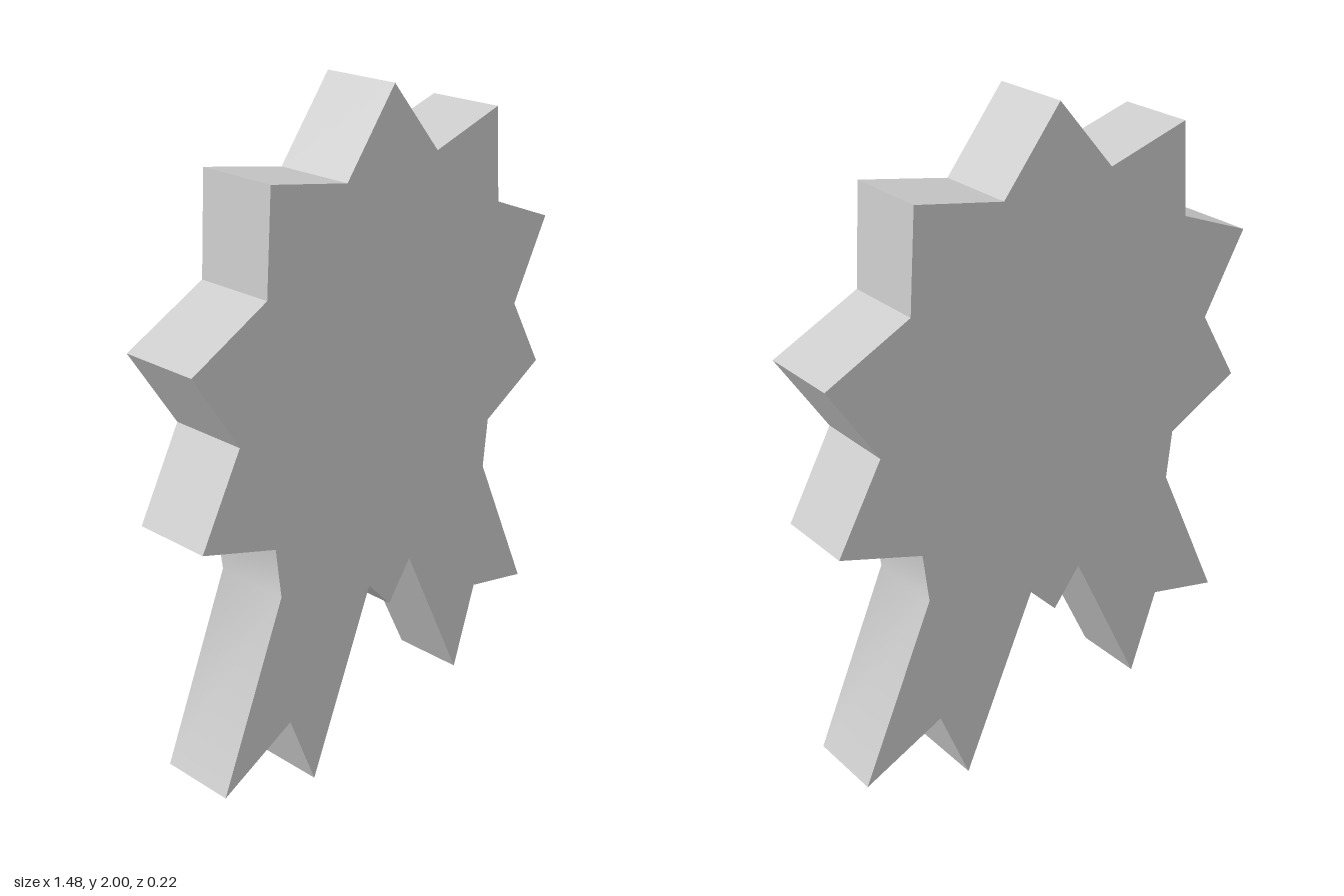
import * as THREE from 'three';
import { toCreasedNormals } from 'three/addons/utils/BufferGeometryUtils.js';

const DEPTH = 0.22;
const CENTRE_Y = 1.22;
const OUTER = 0.78;
const INNER = 0.597;

// Right half of the outline, from the top point down to the bottom point
function halfOutline() {
  const points = [];
  // Ten-pointed rosette: tips and notches alternate every 18 degrees
  for (let i = 0; i <= 7; i++) {
    const angle = (i * Math.PI) / 10;
    const radius = i % 2 ? INNER : OUTER;
    points.push([radius * Math.sin(angle), CENTRE_Y + radius * Math.cos(angle)]);
  }
  // Ribbon tail with its notched end, then the rosette's lowest tip
  points.push([0.467, 0.71], [0.714, 0.177], [0.447, 0.272], [0.351, 0], [0.095, 0.553]);
  points.push([0, CENTRE_Y - OUTER]);
  return points;
}

export function createModel() {
  const group = new THREE.Group();
  group.name = 'awardRosette';

  // Mirror the half outline and run it counter-clockwise
  const half = halfOutline();
  const mirrored = half.slice(1, -1).map(([x, y]) => [-x, y]);
  const outline = [...mirrored, ...half.slice().reverse()];
  const shape = new THREE.Shape(outline.map(([x, y]) => new THREE.Vector2(x, y)));

  // One flat plate; only the soft bend where tail meets rosette is smoothed
  const plate = new THREE.ExtrudeGeometry(shape, { depth: DEPTH, bevelEnabled: false });
  plate.translate(0, 0, -DEPTH / 2);
  const rosette = new THREE.Mesh(
    toCreasedNormals(plate, THREE.MathUtils.degToRad(35)),
    new THREE.MeshStandardMaterial({ color: 0xcccccc })
  );
  rosette.name = 'rosetteWithRibbonTails';
  group.add(rosette);
  return group;
}
